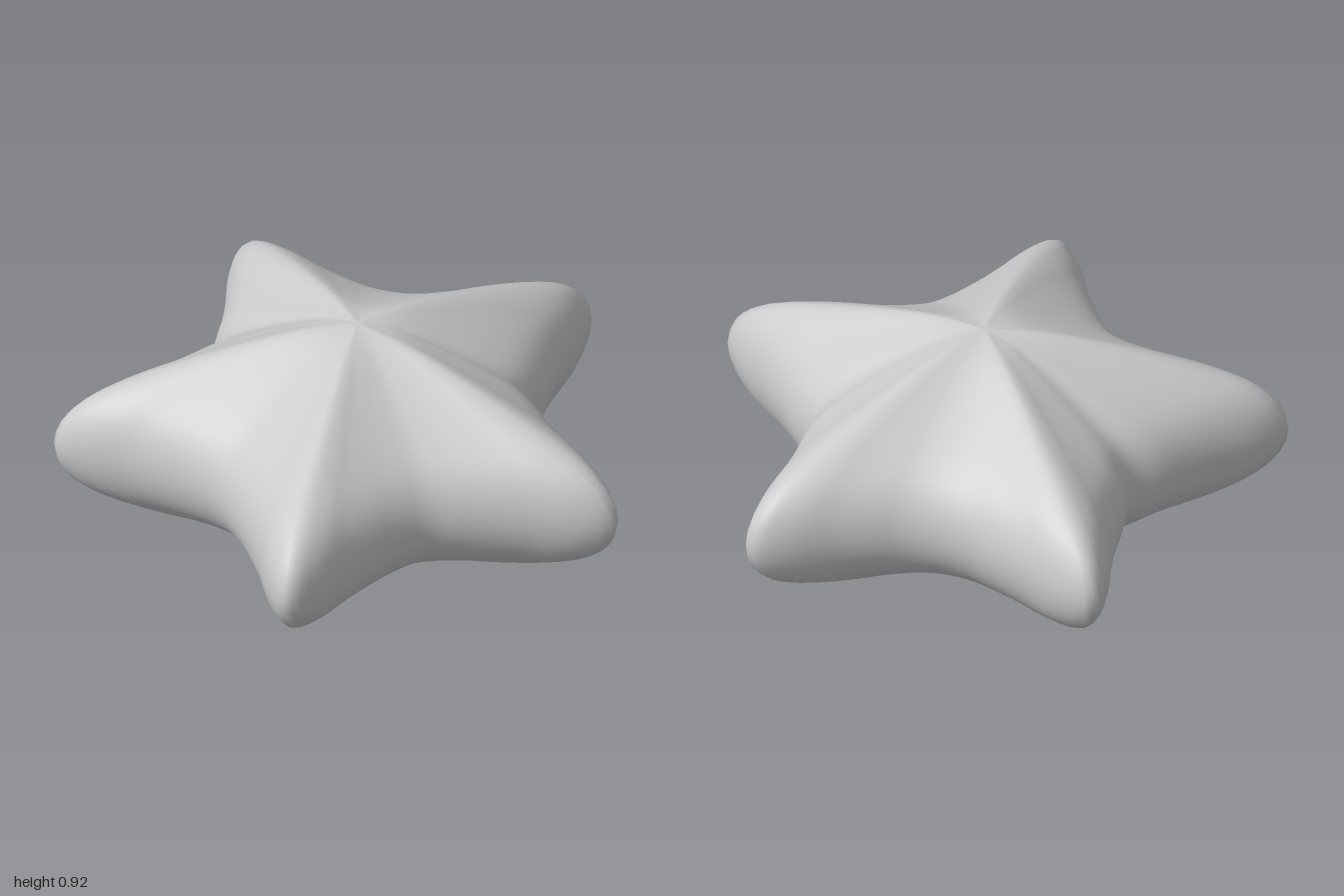
import * as THREE from 'three';

const CENTRE = new THREE.Vector3(0, 0.46, -0.1);
const SEGMENTS = 200;
const RINGS = 48;

// Half outline of one arm: distance along the arm, half width
const ARM = [[1.035, 0.03], [0.95, 0.092], [0.81, 0.16], [0.7, 0.222], [0.6, 0.288]];
const TIP = 1.05;
// Radius of the hollow after each arm, anticlockwise from the front arm
const HOLLOWS = [0.63, 0.605, 0.64, 0.605, 0.63];

// Upper half of the side profile: share of the outline radius, height
const PROFILE = [[0, 0.46], [0.2, 0.432], [0.5, 0.342], [0.8, 0.227], [0.9, 0.171], [0.96, 0.113], [0.99, 0.055]];

// Rounded five-armed outline on the ground plane
function starOutline() {
  const points = [];
  HOLLOWS.forEach((hollow, k) => {
    const angle = (k * Math.PI * 2) / 5;
    const add = (along, across, turn = angle) => points.push(new THREE.Vector3(
      along * Math.sin(turn) + across * Math.cos(turn), 0,
      along * Math.cos(turn) - across * Math.sin(turn)));
    [...ARM].reverse().forEach(([a, w]) => add(a, -w));
    add(TIP, 0);
    ARM.forEach(([a, w]) => add(a, w));
    add(hollow, 0, angle + Math.PI / 5);
  });
  return new THREE.CatmullRomCurve3(points, true, 'centripetal').getSpacedPoints(SEGMENTS).slice(0, SEGMENTS);
}

// Profile from the top peak around the rim to the bottom peak
function sideProfile() {
  const top = PROFILE.map(([s, y]) => new THREE.Vector3(s, y, 0));
  const bottom = PROFILE.map(([s, y]) => new THREE.Vector3(s, -y, 0)).reverse();
  const curve = new THREE.CatmullRomCurve3([...top, new THREE.Vector3(1, 0, 0), ...bottom], false, 'centripetal');
  return curve.getSpacedPoints(RINGS);
}

// Loft scaled copies of the outline between the two peaks
function starGeometry() {
  const outline = starOutline();
  const profile = sideProfile();
  const positions = [0, profile[0].y, 0];
  const index = [];
  for (let j = 1; j < RINGS; j++) {
    outline.forEach((p) => positions.push(p.x * profile[j].x, profile[j].y, p.z * profile[j].x));
  }
  positions.push(0, profile[RINGS].y, 0);
  const last = positions.length / 3 - 1;
  const at = (j, i) => 1 + (j - 1) * SEGMENTS + (i % SEGMENTS);
  for (let i = 0; i < SEGMENTS; i++) {
    index.push(0, at(1, i), at(1, i + 1));
    for (let j = 1; j < RINGS - 1; j++) {
      index.push(at(j, i), at(j + 1, i), at(j + 1, i + 1));
      index.push(at(j, i), at(j + 1, i + 1), at(j, i + 1));
    }
    index.push(at(RINGS - 1, i), last, at(RINGS - 1, i + 1));
  }
  const geometry = new THREE.BufferGeometry();
  geometry.setAttribute('position', new THREE.Float32BufferAttribute(positions, 3));
  geometry.setIndex(index);
  geometry.computeVertexNormals();
  return geometry;
}

export function createModel() {
  const group = new THREE.Group();
  group.name = 'puffyStar';
  const star = new THREE.Mesh(starGeometry(), new THREE.MeshStandardMaterial({ color: 0xcccccc }));
  star.name = 'starBody';
  star.position.copy(CENTRE);
  group.add(star);
  return group;
}
